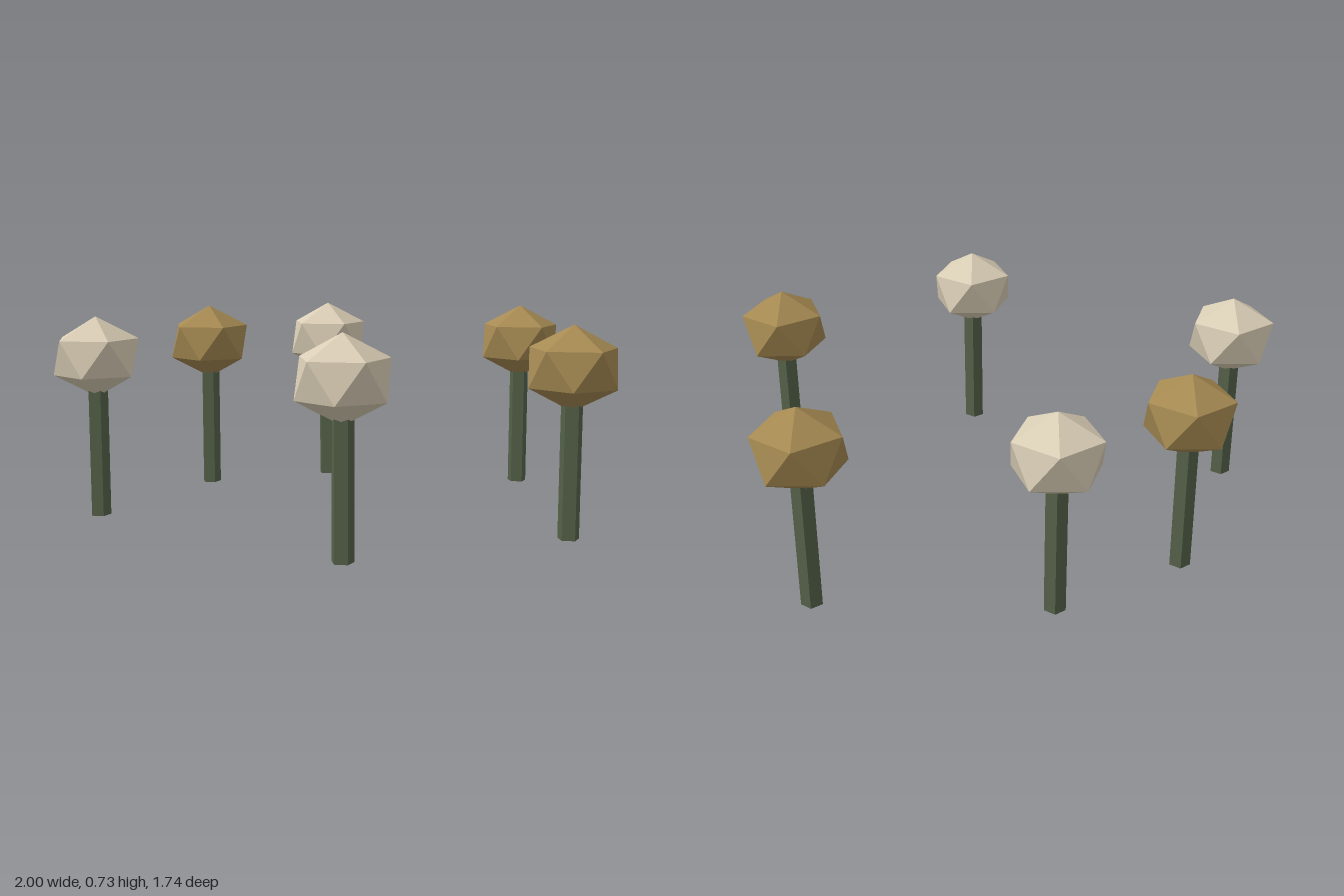
import * as THREE from 'three';

export function createModel() {
  const model = new THREE.Group();
  const make = (name, color) => {
    const m = new THREE.MeshStandardMaterial({ color, flatShading: true });
    m.name = name;
    return m;
  };
  const cream = make('cream', 0xd9cdb5);
  const ochre = make('ochre', 0xa68a52);
  const green = make('stemGreen', 0x55624a);

  // Squashed icosahedron standing on a corner
  const golden = (1 + Math.sqrt(5)) / 2;
  const headGeometry = new THREE.IcosahedronGeometry(0.171, 0);
  headGeometry.rotateZ(-Math.atan(1 / golden));
  headGeometry.scale(1, 0.85, 1);
  headGeometry.translate(0, 0.582, 0);

  // Five-sided stem with one corner towards +x
  const stemGeometry = new THREE.CylinderGeometry(0.038, 0.038, 0.5, 5, 1, false, Math.PI / 2);
  stemGeometry.translate(0, 0.25, 0);

  // Ring of plants: x, z, head colour
  const plants = [
    [-0.847, -0.06, cream],
    [-0.412, -0.61, ochre],
    [0.094, -0.724, cream],
    [0.847, -0.438, ochre],
    [0.733, 0.542, ochre],
    [-0.07, 0.724, cream],
  ];
  plants.forEach(([x, z, material], i) => {
    const plant = new THREE.Group();
    plant.name = `plant${i + 1}`;
    const stem = new THREE.Mesh(stemGeometry, green);
    stem.name = 'stem';
    const head = new THREE.Mesh(headGeometry, material);
    head.name = 'head';
    plant.add(stem, head);
    plant.position.set(x, 0, z);
    model.add(plant);
  });
  return model;
}
